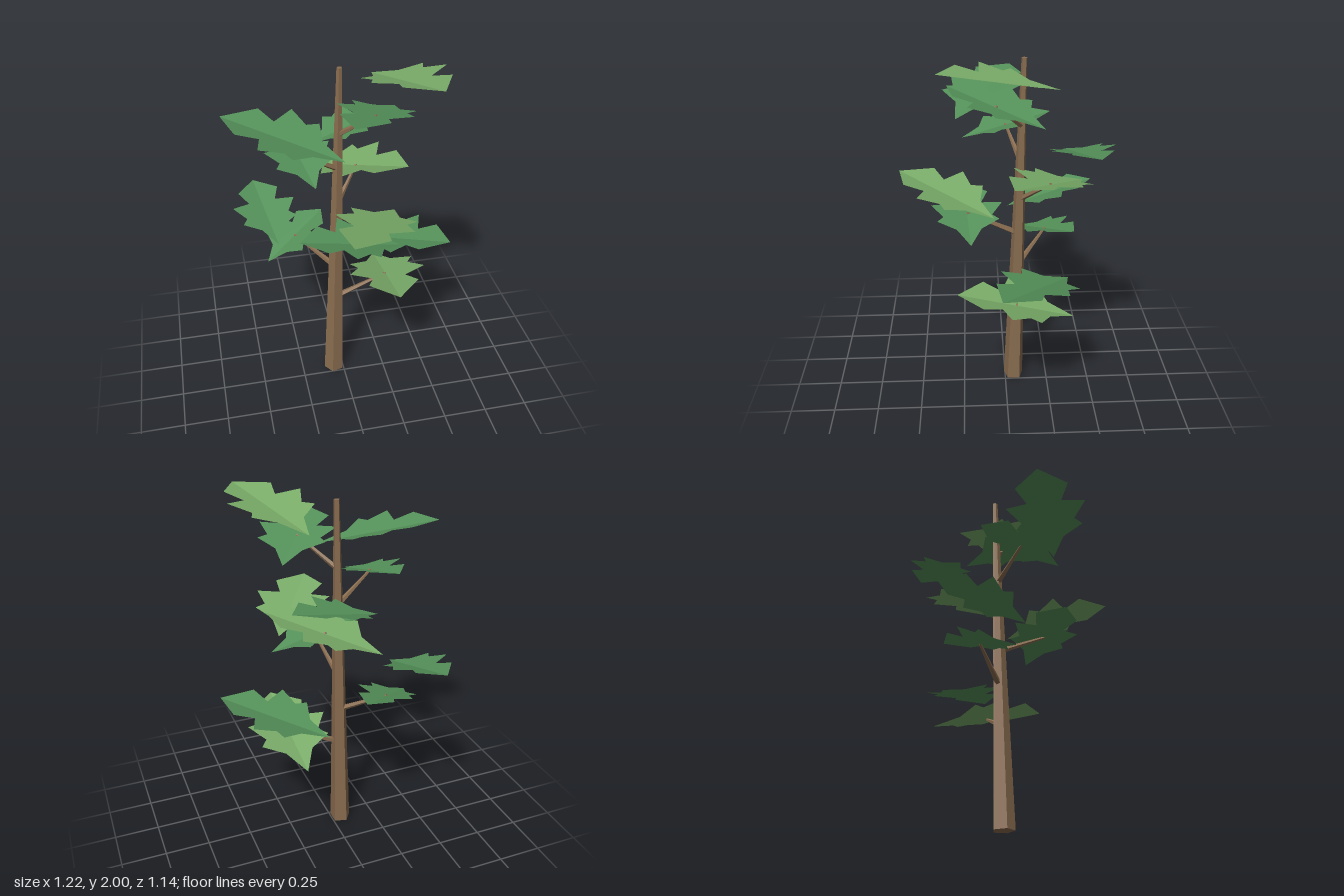
import * as THREE from 'three';
import { mergeGeometries } from 'three/addons/utils/BufferGeometryUtils.js';

const material = (color, side = THREE.FrontSide) =>
  new THREE.MeshStandardMaterial({ color, side, flatShading: true });

// Trunk centre line, leaning slightly towards the back left.
const BASE = new THREE.Vector3(-0.055, 0, -0.05);
const TOP = new THREE.Vector3(-0.004, 1.97, -0.095);
const onTrunk = (y) => BASE.clone().lerp(TOP, y / TOP.y);

// Half outline of a frond: distance along the crease, distance from it.
const HALF = [
  [0, 0], [0.135, 0.075], [0.19, 0.19], [0.245, 0.15],
  [0.345, 0.222], [0.39, 0.095], [0.49, 0.144], [0.63, 0],
];
const LENGTH = 0.63;
const FOLD = 0.2; // how steeply both halves rise from the crease

// Fronds: tip [x, z], far end [x, z], tip height, end height, light tone,
// and the height where its branch leaves the trunk (0 for no branch).
const FRONDS = [
  [[0.26, -0.36], [0.26, 0.27], 0.61, 0.76, true, 0.55],
  [[0.13, -0.34], [0.61, 0.04], 0.78, 0.92, false, 0],
  [[-0.42, -0.10], [-0.06, -0.39], 0.84, 0.965, false, 0.77],
  [[-0.36, -0.03], [-0.44, -0.53], 1.0, 1.13, false, 0],
  [[0.27, 0.19], [-0.28, 0.23], 1.06, 1.18, false, 0.98],
  [[0.26, 0.07], [-0.07, 0.57], 1.21, 1.35, true, 0],
  [[-0.12, -0.43], [0.36, -0.03], 1.26, 1.405, true, 1.19],
  [[-0.13, -0.33], [0.36, -0.45], 1.44, 1.56, false, 0],
  [[-0.19, 0.23], [-0.28, -0.26], 1.49, 1.605, false, 1.41],
  [[-0.05, 0.26], [-0.61, -0.05], 1.64, 1.79, false, 0],
  [[0.31, -0.18], [-0.01, 0.30], 1.70, 1.83, false, 1.61],
  [[0.20, -0.26], [0.40, 0.335], 1.86, 1.995, true, 0],
];

// Tapered stick between two points.
function stick(from, to, r0, r1, sides, thetaStart = 0) {
  const geometry = new THREE.CylinderGeometry(r1, r0, 1, sides, 1, false, thetaStart);
  const dir = to.clone().sub(from);
  geometry.scale(1, dir.length(), 1);
  geometry.applyQuaternion(new THREE.Quaternion().setFromUnitVectors(
    new THREE.Vector3(0, 1, 0), dir.normalize()));
  const mid = from.clone().add(to).multiplyScalar(0.5);
  return geometry.translate(mid.x, mid.y, mid.z);
}

// Two mirrored jagged halves folded up along the crease.
function frondGeometry([tip, end, y0, y1]) {
  const dx = end[0] - tip[0], dz = end[1] - tip[1];
  const length = Math.hypot(dx, dz), scale = length / LENGTH;
  const cx = dx / length, cz = dz / length;
  const halves = [1, -1].map((side) => {
    const shape = new THREE.Shape(HALF.map(([u, v]) => new THREE.Vector2(u, v * side)));
    const geometry = new THREE.ShapeGeometry(shape);
    const p = geometry.attributes.position;
    for (let i = 0; i < p.count; i++) {
      const u = p.getX(i) * scale, v = p.getY(i) * scale;
      p.setXYZ(i,
        tip[0] + u * cx + v * cz,
        y0 + (y1 - y0) * (u / length) + Math.abs(v) * FOLD,
        tip[1] + u * cz - v * cx);
    }
    return geometry;
  });
  const merged = mergeGeometries(halves);
  merged.computeVertexNormals();
  return merged;
}

export function createModel() {
  const group = new THREE.Group();
  const bark = material(0x8a6d50);
  const green = material(0x55925a, THREE.DoubleSide);
  const lightGreen = material(0x7aad69, THREE.DoubleSide);
  const add = (name, geometry, mat) => {
    const mesh = new THREE.Mesh(geometry, mat);
    mesh.name = name;
    group.add(mesh);
  };

  // Five-sided trunk with one flat side facing +x.
  add('trunk', stick(BASE, TOP, 0.06, 0.015, 5, -Math.PI / 10), bark);

  // Fronds, every second one carried by a branch that just pierces its middle.
  FRONDS.forEach((f, i) => {
    const [tip, end, y0, y1, light, branchY] = f;
    add(`frond${i + 1}`, frondGeometry(f), light ? lightGreen : green);
    if (!branchY) return;
    const t = 0.49;
    const to = new THREE.Vector3(
      tip[0] + (end[0] - tip[0]) * t,
      y0 + (y1 - y0) * t + 0.004,
      tip[1] + (end[1] - tip[1]) * t);
    const thickness = 0.02 - branchY * 0.003;
    add(`branch${i + 1}`, stick(onTrunk(branchY), to, thickness, 0.007, 5), bark);
  });
  return group;
}
